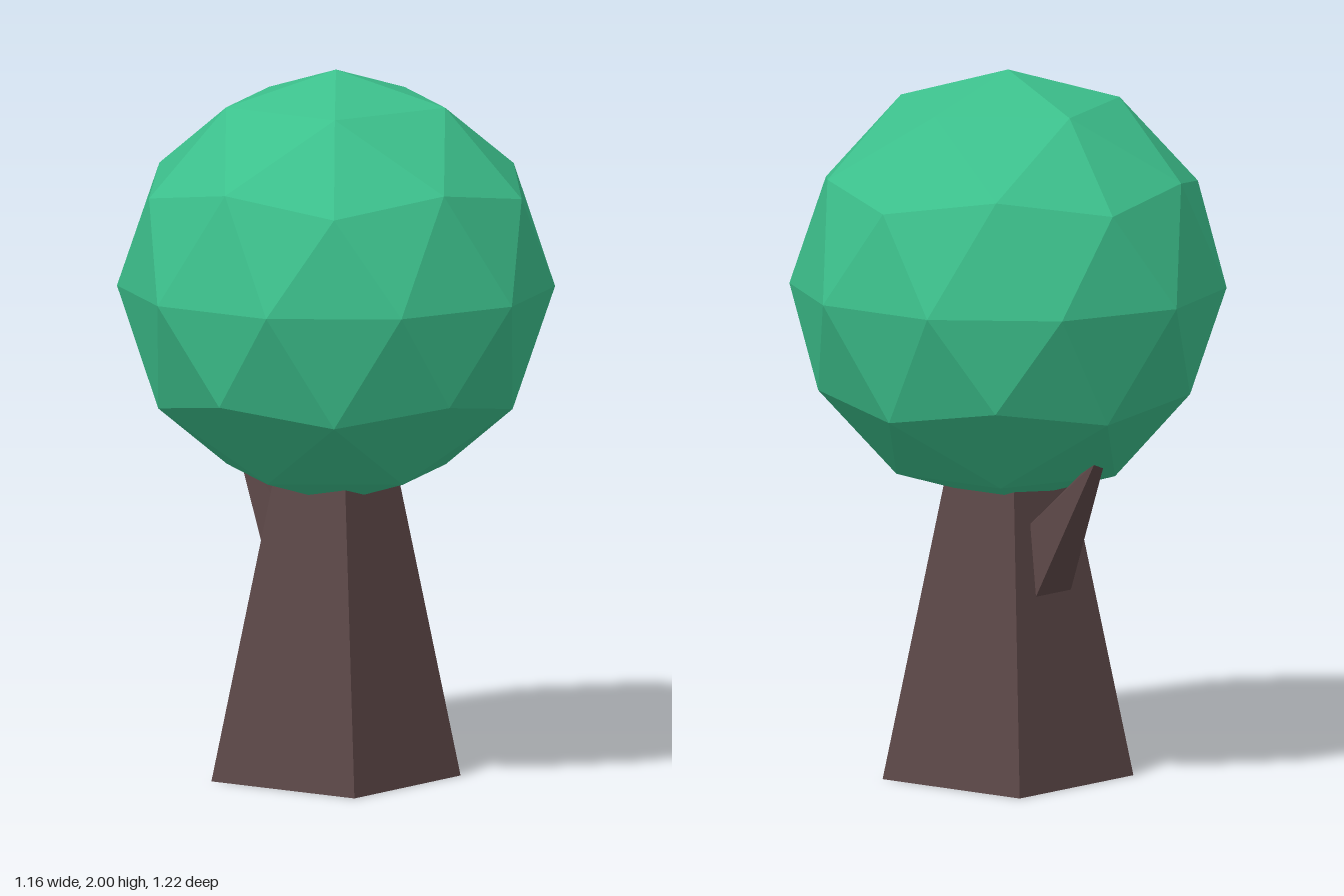
import * as THREE from 'three';

// Flat-sided block between two four-cornered sections, each counter-clockwise seen from the end
function taperedBlock(start, end) {
  const pos = [];
  const quad = (a, b, c, d) => pos.push(...a, ...b, ...c, ...a, ...c, ...d);
  for (let i = 0; i < 4; i++) {
    const j = (i + 1) % 4;
    quad(start[i], start[j], end[j], end[i]);
  }
  quad(...end);
  quad(...[...start].reverse());
  const geo = new THREE.BufferGeometry();
  geo.setAttribute('position', new THREE.Float32BufferAttribute(pos, 3));
  geo.computeVertexNormals();
  return geo;
}

// Faceted ball standing on a pole: twelve corners in two rings, each face split in four
function facetedBall(radius) {
  const verts = [0, 1, 0, 0, -1, 0];
  const faces = [];
  const h = 1 / Math.sqrt(5), r = 2 * h;
  for (let i = 0; i < 5; i++) {
    const a = (i * 2 * Math.PI) / 5, b = a + Math.PI / 5;
    verts.push(r * Math.cos(a), h, r * Math.sin(a));
    verts.push(r * Math.cos(b), -h, r * Math.sin(b));
    const up = 2 + 2 * i, low = up + 1;
    const upNext = 2 + 2 * ((i + 1) % 5), lowNext = upNext + 1;
    faces.push(0, upNext, up, up, upNext, low, low, upNext, lowNext, 1, low, lowNext);
  }
  const geo = new THREE.PolyhedronGeometry(verts, faces, radius, 1);
  geo.computeVertexNormals();
  return geo;
}

export function createModel() {
  const tree = new THREE.Group();
  tree.name = 'tree';
  const leaf = new THREE.MeshStandardMaterial({ color: 0x3cc08c, flatShading: true });
  const bark = new THREE.MeshStandardMaterial({ color: 0x5c4747, flatShading: true });

  const add = (name, geo, material) => {
    const mesh = new THREE.Mesh(geo, material);
    mesh.name = name;
    tree.add(mesh);
    return mesh;
  };

  // Foliage
  add('foliage', facetedBall(0.61), leaf).position.y = 1.39;

  // Square trunk, narrowing into the foliage
  const square = (s, y) => [[-s, y, s], [s, y, s], [s, y, -s], [-s, y, -s]];
  add('trunk', taperedBlock(square(0.248, 0), square(0.108, 0.96)), bark);

  // Branch rising from the back of the trunk: under edge, then upper edge
  const section = (xc, wLow, yLow, zLow, wTop, yTop, zTop) => [
    [xc + wLow, yLow, zLow], [xc - wLow, yLow, zLow],
    [xc - wTop, yTop, zTop], [xc + wTop, yTop, zTop],
  ];
  add('branch', taperedBlock(
    section(0.006, 0.083, 0.49, -0.148, 0.075, 0.7, -0.1),
    section(0.006, 0.022, 0.93, -0.338, 0.022, 0.93, -0.33),
  ), bark);

  return tree;
}
